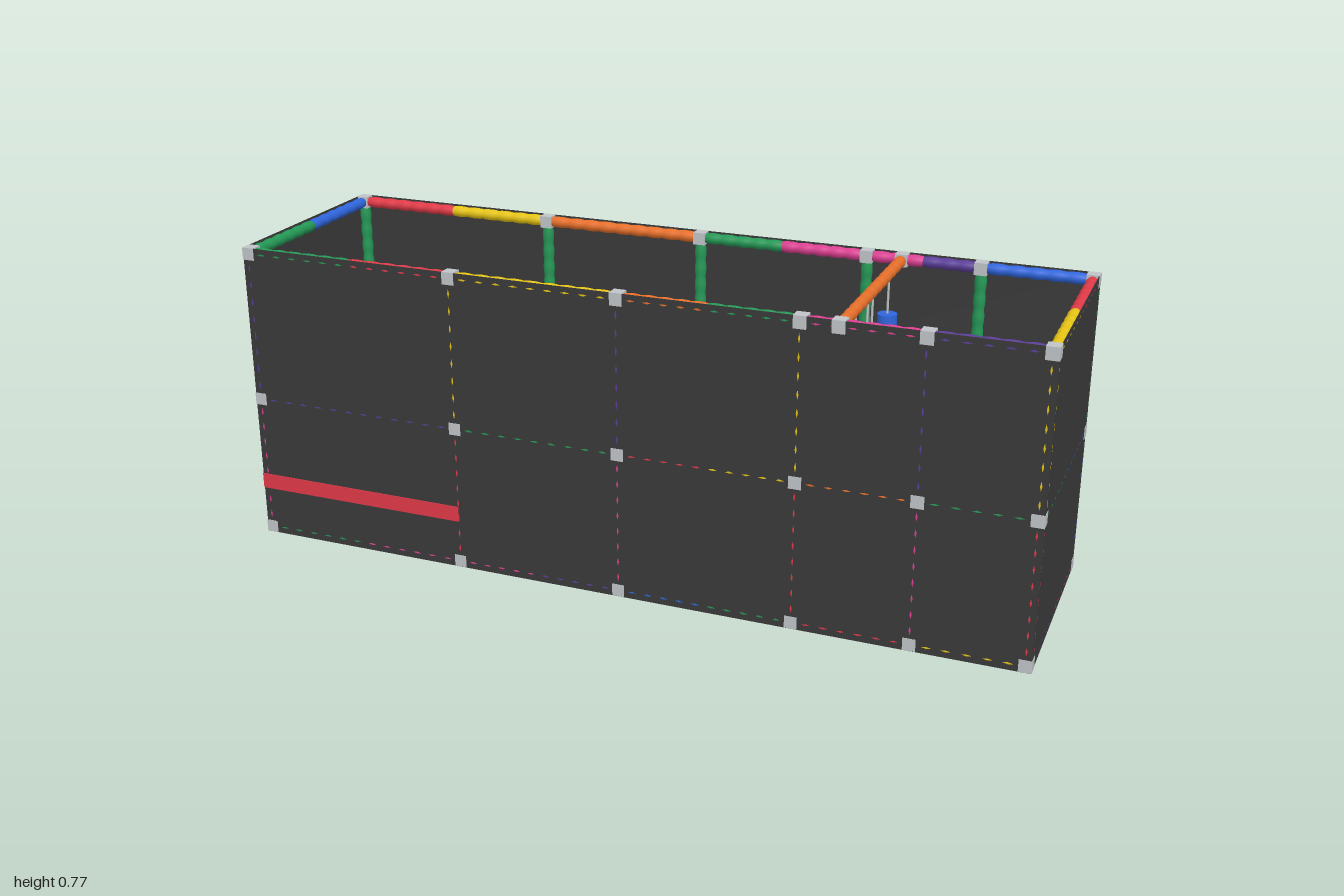
import * as THREE from 'three';
import { mergeGeometries } from 'three/addons/utils/BufferGeometryUtils.js';
import { RoundedBoxGeometry } from 'three/addons/geometries/RoundedBoxGeometry.js';

const COLORS = {
  dark: 0x3a3a3a, grey: 0xc0c4c8, red: 0xe03a48, yellow: 0xe6c414, green: 0x259856,
  blue: 0x2f66dd, purple: 0x5a3d98, pink: 0xdc3f92, orange: 0xe8702a, sky: 0x2a8fd8,
};

export function createModel() {
  const group = new THREE.Group();
  const mats = {};
  for (const [name, color] of Object.entries(COLORS)) {
    mats[name] = new THREE.MeshStandardMaterial({ color });
    mats[name].name = name;
  }
  mats.blue.side = THREE.DoubleSide; // open half-pipe slides

  function add(name, geo, color, x = 0, y = 0, z = 0) {
    const mesh = new THREE.Mesh(geo, mats[color]);
    mesh.name = name;
    mesh.position.set(x, y, z);
    group.add(mesh);
    return mesh;
  }
  // Box given by its limits
  const box = (name, color, x0, x1, y0, y1, z0, z1) =>
    add(name, new THREE.BoxGeometry(x1 - x0, y1 - y0, z1 - z0), color,
      (x0 + x1) / 2, (y0 + y1) / 2, (z0 + z1) / 2);

  // Padded pole: a lathe with one bulge for each foam sleeve
  const UP = new THREE.Vector3(0, 1, 0);
  function pole(color, a, b) {
    const from = new THREE.Vector3(...a), dir = new THREE.Vector3(...b).sub(from);
    const len = dir.length(), count = Math.max(1, Math.round(len / 0.043));
    const pts = [];
    for (let i = 0; i <= count * 4; i++) {
      const bulge = Math.sin(Math.PI * (i % 4) / 4);
      pts.push(new THREE.Vector2(0.0128 + 0.0022 * bulge, len * i / (count * 4)));
    }
    const mesh = add('paddedPole', new THREE.LatheGeometry(pts, 12), color, ...a);
    mesh.quaternion.setFromUnitVectors(UP, dir.normalize());
  }

  // Frame grid
  const X = [-0.985, -0.43, 0, 0.437, 0.72, 0.985];
  const Y = [0.0165, 0.373, 0.756];
  const Z = 0.27, J = 0.0155;

  // Grey corner joints
  const joint = new THREE.BoxGeometry(2 * J, 2 * J, 2 * J);
  for (const z of [-Z, Z]) {
    for (const x of X) for (const y of Y) add('joint', joint, 'grey', x, y, z);
    add('joint', joint, 'grey', 0.525, Y[2], z);
  }

  // Lengthwise poles; a pair of colours splits a span in two
  const FRONT = [
    ['green pink', 'pink purple', 'blue green', 'red', 'yellow'],
    ['purple', 'green', 'red yellow', 'orange', 'green'],
    ['green red', 'yellow', 'orange green', 'pink', 'purple'],
  ];
  const BACK = [
    ['purple pink', 'green', 'red orange', 'blue', 'pink'],
    ['green', 'blue', 'orange', 'pink', 'pink'],
    ['red yellow', 'orange', 'green pink', 'pink purple', 'blue'],
  ];
  function span(colors, a, b) {
    const list = colors.split(' ');
    const at = (t) => a.map((v, i) => v + (b[i] - v) * t);
    list.forEach((c, i) => pole(c, at(i / list.length), at((i + 1) / list.length)));
  }
  for (const [rows, z] of [[FRONT, Z], [BACK, -Z]])
    rows.forEach((row, j) => row.forEach((c, i) =>
      span(c, [X[i] + J, Y[j], z], [X[i + 1] - J, Y[j], z])));

  // Uprights
  const frontLow = ['pink', 'red', 'pink', 'red', 'pink', 'red'];
  const frontHigh = ['purple', 'yellow', 'purple', 'yellow', 'purple', 'yellow'];
  const backLow = ['orange', 'blue', 'orange', 'blue', 'orange', 'blue'];
  X.forEach((x, i) => {
    pole(frontLow[i], [x, Y[0] + J, Z], [x, Y[1] - J, Z]);
    pole(frontHigh[i], [x, Y[1] + J, Z], [x, Y[2] - J, Z]);
    pole(backLow[i], [x, Y[0] + J, -Z], [x, Y[1] - J, -Z]);
    pole('green', [x, Y[1] + J, -Z], [x, Y[2] - J, -Z]);
  });

  // End rails, from back to front, and the high crossbar
  ['pink purple', 'blue green', 'red yellow'].forEach((c, j) =>
    span(c, [X[5], Y[j], -Z + J], [X[5], Y[j], Z - J]));
  ['orange yellow', 'blue purple', 'blue green'].forEach((c, j) =>
    span(c, [X[0], Y[j], -Z + J], [X[0], Y[j], Z - J]));
  pole('orange', [0.525, Y[2], -Z + J], [0.525, Y[2], Z - J]);

  // Dark net walls, just inside the outermost bulge of the poles
  for (const s of [-1, 1]) {
    const z = s * 0.2837, x = s * 0.9987;
    box('netWall', 'dark', -0.999, 0.999, 0, 0.771, z - 0.0006, z + 0.0006);
    box('netWall', 'dark', x - 0.0006, x + 0.0006, 0, 0.771, -0.284, 0.284);
  }

  // Trampoline bay
  box('trampolineFloor', 'purple', -0.985, -0.437, 0, 0.008, -0.27, 0.27);
  box('trampolineDeck', 'red', -1, -0.43, 0.125, 0.165, -0.286, 0.286);
  box('trampolineBed', 'dark', -0.93, -0.5, 0.162, 0.168, -0.218, 0.215);

  // Ball pit
  box('ballPitFloor', 'sky', -0.425, 0, 0, 0.008, -0.27, 0.27);
  for (const x of [-0.415, -0.004]) box('ballPitEdge', 'blue', x - 0.004, x + 0.004, 0, 0.1, -0.265, 0.265);
  let seed = 7;
  const rnd = () => (seed = (seed * 16807) % 2147483647) / 2147483647;
  const ballColors = ['red', 'yellow', 'green', 'blue', 'orange', 'sky', 'pink', 'blue'];
  const balls = ballColors.map(() => []);
  for (let i = 0; i < 20; i++) for (let j = 0; j < 26; j++) {
    const ball = new THREE.IcosahedronGeometry(0.0125, 1);
    ball.translate(-0.4 + i * 0.0202 + (rnd() - 0.5) * 0.01, 0.085 + rnd() * 0.02,
      -0.25 + j * 0.02 + (rnd() - 0.5) * 0.01);
    balls[Math.floor(rnd() * balls.length)].push(ball);
  }
  box('ballFill', 'blue', -0.41, -0.008, 0.01, 0.08, -0.265, 0.265);
  balls.forEach((list, i) => add('pitBalls', mergeGeometries(list), ballColors[i]));

  // Floor mats
  function mats4(xs, pick) {
    for (let i = 0; i < xs.length - 1; i++) for (let j = 0; j < 4; j++) {
      const w = xs[i + 1] - xs[i];
      add('floorMat', new RoundedBoxGeometry(w - 0.006, 0.016, 0.132, 1, 0.006), pick(i, j),
        xs[i] + w / 2, 0.008, -0.207 + j * 0.138);
    }
  }
  const endMats = ['sky', 'green', 'purple', 'yellow'];
  const climbMats = [['orange', 'red', 'orange', 'green'], ['green', 'orange', 'red', 'blue'],
    ['blue', 'red', 'orange', 'pink']];
  mats4([0, 0.145, 0.29, 0.437], (i, j) => climbMats[i][j]);
  mats4([0.437, 0.578, 0.72], () => 'pink');
  mats4([0.72, 0.853, 0.985], (i, j) => endMats[(j + 1 - i) % 4]);
  box('step', 'orange', 0.725, 0.85, 0.016, 0.09, -0.262, -0.15);

  // Climbing ramps with holds
  const rise = (x) => 0.05 + x * 0.7;
  function ramp(color, z0, z1, holds) {
    const shape = new THREE.Shape([[0, 0.016], [0.435, 0.016], [0.435, rise(0.435)], [0, rise(0)]]
      .map((p) => new THREE.Vector2(...p)));
    add('climbingRamp', new THREE.ExtrudeGeometry(shape, { depth: z1 - z0, bevelEnabled: false }),
      color, 0, 0, z0);
    holds.forEach(([x, z, c]) => {
      const hold = add('climbingHold', new THREE.BoxGeometry(0.04, 0.02, 0.018), c, x, rise(x), z);
      hold.rotation.z = Math.atan(0.7);
    });
  }
  ramp('red', -0.2, 0, [[0.04, -0.155, 'blue'], [0.1, -0.125, 'blue'], [0.165, -0.09, 'green'],
    [0.165, -0.03, 'yellow']]);
  ramp('grey', 0.002, 0.2, [[0.23, 0.005, 'orange'], [0.31, 0.025, 'red'], [0.21, 0.055, 'orange'],
    [0.365, 0.055, 'green'], [0.29, 0.088, 'green'], [0.115, 0.118, 'blue']]);
  box('softBlock', 'blue', 0.18, 0.415, 0.016, 0.42, -0.255, -0.005);
  box('redPost', 'red', 0.416, 0.436, 0.3, 0.4, -0.2, 0);

  // Upper platform with soft rollers
  box('platform', 'orange', 0.437, 0.72, 0.345, 0.373, -0.262, 0.262);
  add('purpleRoller', new THREE.CylinderGeometry(0.043, 0.043, 0.23, 24), 'purple', 0.608, 0.416, -0.088)
    .rotation.x = Math.PI / 2;
  add('greenRoller', new THREE.CylinderGeometry(0.062, 0.062, 0.14, 24), 'green', 0.62, 0.435, 0.112)
    .rotation.z = Math.PI / 2;

  // Half-pipe slides
  for (const z of [-0.08, 0.07]) {
    const len = Math.hypot(0.25, 0.31);
    const geo = new THREE.CylinderGeometry(0.063, 0.063, len, 20, 1, true, Math.PI, Math.PI);
    add('slide', geo, 'blue', 0.855, 0.245, z).rotation.z = Math.atan2(0.25, 0.31);
  }

  // Hanging bags and ball
  for (const [z, r] of [[-0.146, 0.024], [0.042, 0.017], [0.146, 0.024], [0.206, 0.02]]) {
    add('hangingBag', new THREE.CylinderGeometry(r, r, 0.16, 20), 'blue', 0.525, 0.575, z);
    add('rope', new THREE.CylinderGeometry(0.003, 0.003, 0.1, 6), 'grey', 0.525, 0.7, z);
  }
  add('hangingBall', new THREE.SphereGeometry(0.024, 20, 14), 'blue', 0.525, 0.63, 0);
  add('rope', new THREE.CylinderGeometry(0.003, 0.003, 0.11, 6), 'grey', 0.525, 0.7, 0);

  return group;
}
